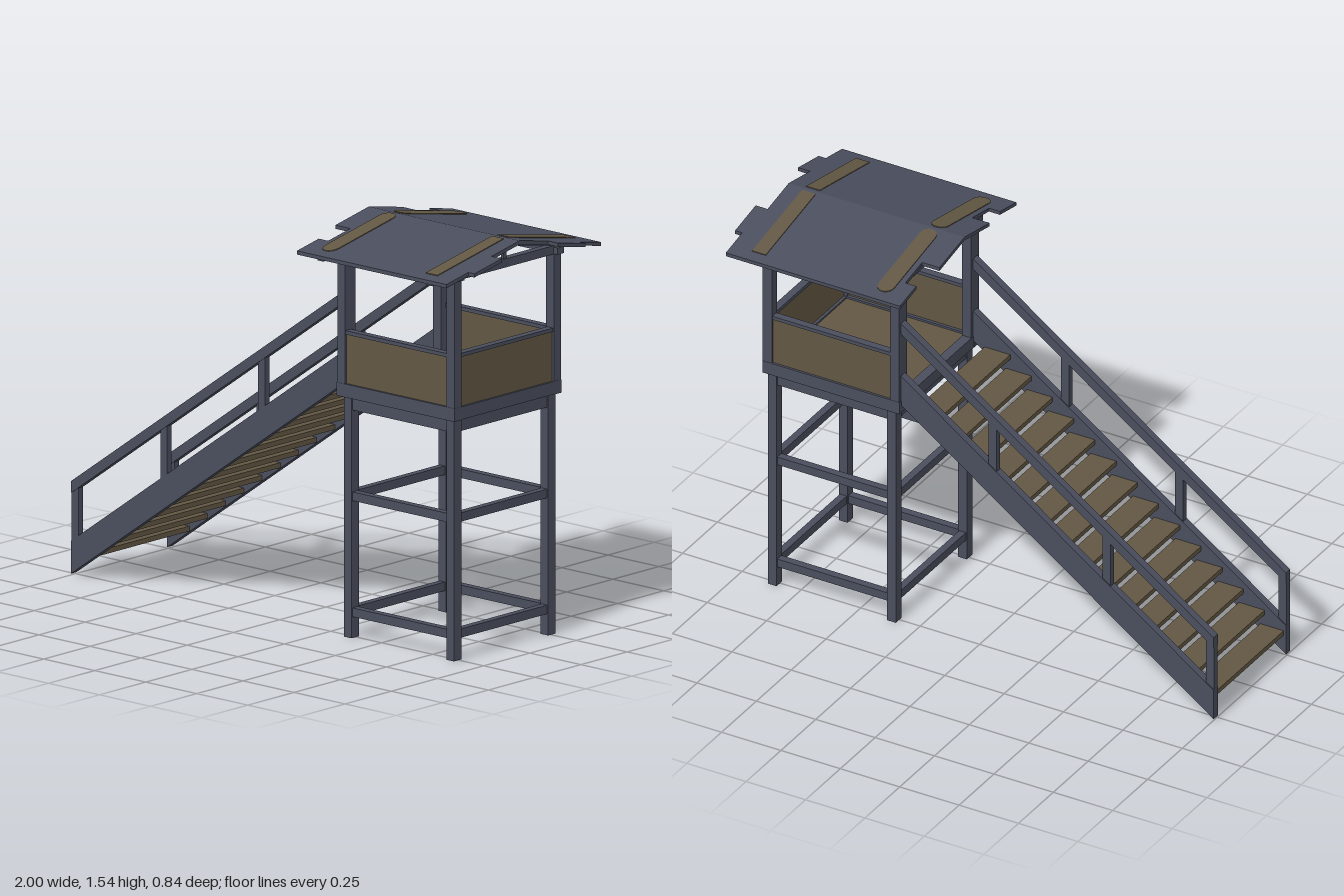
import * as THREE from 'three';

export function createModel() {
  const model = new THREE.Group();
  const slate = new THREE.MeshStandardMaterial({ color: 0x4a4e5d });
  slate.name = 'slate timber';
  const brown = new THREE.MeshStandardMaterial({ color: 0x625743 });
  brown.name = 'brown boards';

  const add = (name, geo, mat) => {
    const mesh = new THREE.Mesh(geo, mat);
    mesh.name = name;
    model.add(mesh);
    return mesh;
  };
  // Box given by its lower and upper limits on each axis
  const box = (name, mat, x0, x1, y0, y1, z0, z1) => {
    const geo = new THREE.BoxGeometry(x1 - x0, y1 - y0, z1 - z0);
    geo.translate((x0 + x1) / 2, (y0 + y1) / 2, (z0 + z1) / 2);
    return add(name, geo, mat);
  };
  // The same box on both sides of the z = 0 plane
  const pair = (name, mat, x0, x1, y0, y1, z0, z1) => {
    box(name + 'Left', mat, x0, x1, y0, y1, z0, z1);
    box(name + 'Right', mat, x0, x1, y0, y1, -z1, -z0);
  };

  // Lower legs
  for (const x of [0.338, 0.84]) pair('leg', slate, x, x + 0.037, 0, 0.905, 0.235, 0.275);

  // Horizontal braces between the legs
  for (const [y0, y1] of [[0.08, 0.113], [0.515, 0.548], [0.855, 0.905]]) {
    pair('sideBrace', slate, 0.375, 0.84, y0, y1, 0.24, 0.27);
    for (const x of [0.342, 0.844]) box('endBrace', slate, x, x + 0.028, y0, y1, -0.235, 0.235);
  }

  // Platform frame and floor
  pair('platformBeam', slate, 0.315, 0.892, 0.903, 0.953, 0.25, 0.289);
  for (const x of [0.316, 0.853]) box('platformEndBeam', slate, x, x + 0.038, 0.904, 0.952, -0.25, 0.25);
  box('floor', brown, 0.354, 0.853, 0.915, 0.945, -0.25, 0.25);

  // Upper posts
  pair('rearPost', slate, 0.317, 0.355, 0.953, 1.432, 0.23, 0.288);
  pair('frontPost', slate, 0.852, 0.891, 0.953, 1.432, 0.25, 0.288);

  // Parapet panels with capping rails, open towards the stairs
  pair('parapetPanel', brown, 0.355, 0.852, 0.953, 1.142, 0.262, 0.28);
  pair('parapetRail', slate, 0.355, 0.852, 1.138, 1.152, 0.255, 0.285);
  box('endPanel', brown, 0.864, 0.882, 0.952, 1.142, -0.25, 0.25);
  box('endRail', slate, 0.857, 0.887, 1.138, 1.152, -0.25, 0.25);

  // Beams carrying the roof, with king posts
  pair('roofBeam', slate, 0.3, 0.908, 1.43, 1.455, 0.252, 0.285);
  for (const x of [0.322, 0.857]) {
    box('tieBeam', slate, x, x + 0.03, 1.428, 1.46, -0.3, 0.3);
    box('kingPost', slate, x + 0.008, x + 0.022, 1.46, 1.515, -0.008, 0.008);
  }

  // A plan outline of [x, z] points bent down along the roof pitch
  const pitch = (z) => 1.538 - 0.195 * Math.abs(z);
  const slab = (name, mat, pts, offset, thick) => {
    const shape = new THREE.Shape(pts.map(([x, z]) => new THREE.Vector2(x, -z)));
    const geo = new THREE.ExtrudeGeometry(shape, { depth: thick, bevelEnabled: false });
    const p = geo.attributes.position;
    for (let i = 0; i < p.count; i++) {
      const z = -p.getY(i);
      p.setXYZ(i, p.getX(i), pitch(z) + offset + p.getZ(i), z);
    }
    geo.computeVertexNormals();
    return add(name, geo, mat);
  };
  const roofHalf = [
    [0.21, 0], [0.21, 0.18], [0.283, 0.18], [0.283, 0.3], [0.237, 0.3], [0.237, 0.418],
    [0.97, 0.418], [0.97, 0.3], [1, 0.3], [1, 0.152], [0.95, 0.152], [0.95, 0],
  ];
  const rect = (x0, x1, z0, z1) => [[x0, z0], [x1, z0], [x1, z1], [x0, z1]];
  for (const s of [1, -1]) {
    const side = (pts) => pts.map(([x, z]) => [x, z * s]);
    slab('roofPanel', slate, side(roofHalf), -0.014, 0.014);
    for (const x of [0.322, 0.857]) slab('rafter', slate, side(rect(x, x + 0.03, 0, 0.4)), -0.028, 0.015);

    // Brown strips on the roof, one straight and one round-ended
    slab('roofStrip', brown, side(rect(0.828, 0.885, 0.015, 0.373)), 0, 0.003);
    const capsule = [];
    for (let i = 0; i <= 8; i++) {
      const a = (Math.PI * i) / 8;
      capsule.push([0.338 + 0.033 * Math.cos(a), 0.342 + 0.033 * Math.sin(a)]);
    }
    for (let i = 0; i <= 8; i++) {
      const a = Math.PI + (Math.PI * i) / 8;
      capsule.push([0.338 + 0.033 * Math.cos(a), 0.045 + 0.033 * Math.sin(a)]);
    }
    slab('roundedRoofStrip', brown, side(capsule), 0, 0.003);
  }

  // Stair stringers and handrails: sloped strips with upright ends
  const sloped = (name, low, high, z0, z1) => {
    const rise = 0.93;
    const shape = new THREE.Shape([
      new THREE.Vector2(-1, low), new THREE.Vector2(0.317, low + rise),
      new THREE.Vector2(0.317, high + rise), new THREE.Vector2(-1, high),
    ]);
    const geo = new THREE.ExtrudeGeometry(shape, { depth: z1 - z0, bevelEnabled: false });
    geo.translate(0, 0, z0);
    add(name, geo, slate);
  };
  for (const [a, b] of [[0.245, 0.275], [-0.275, -0.245]]) {
    sloped('stringer', 0.005, 0.128, a, b);
    sloped('handrail', 0.308, 0.352, a, b);
  }
  for (const [x, y0, y1] of [[-1, 0.1, 0.33], [-0.565, 0.4, 0.645], [-0.085, 0.74, 0.985]]) {
    pair('railPost', slate, x, x + 0.034, y0, y1, 0.248, 0.272);
  }

  // Treads
  for (let i = 0; i < 14; i++) {
    const x = -0.999 + 0.0892 * i, y = 0.084 + 0.063 * i;
    box('tread', brown, Math.max(x, -0.99), x + 0.108, y, y + 0.019, -0.246, 0.246);
  }

  return model;
}
